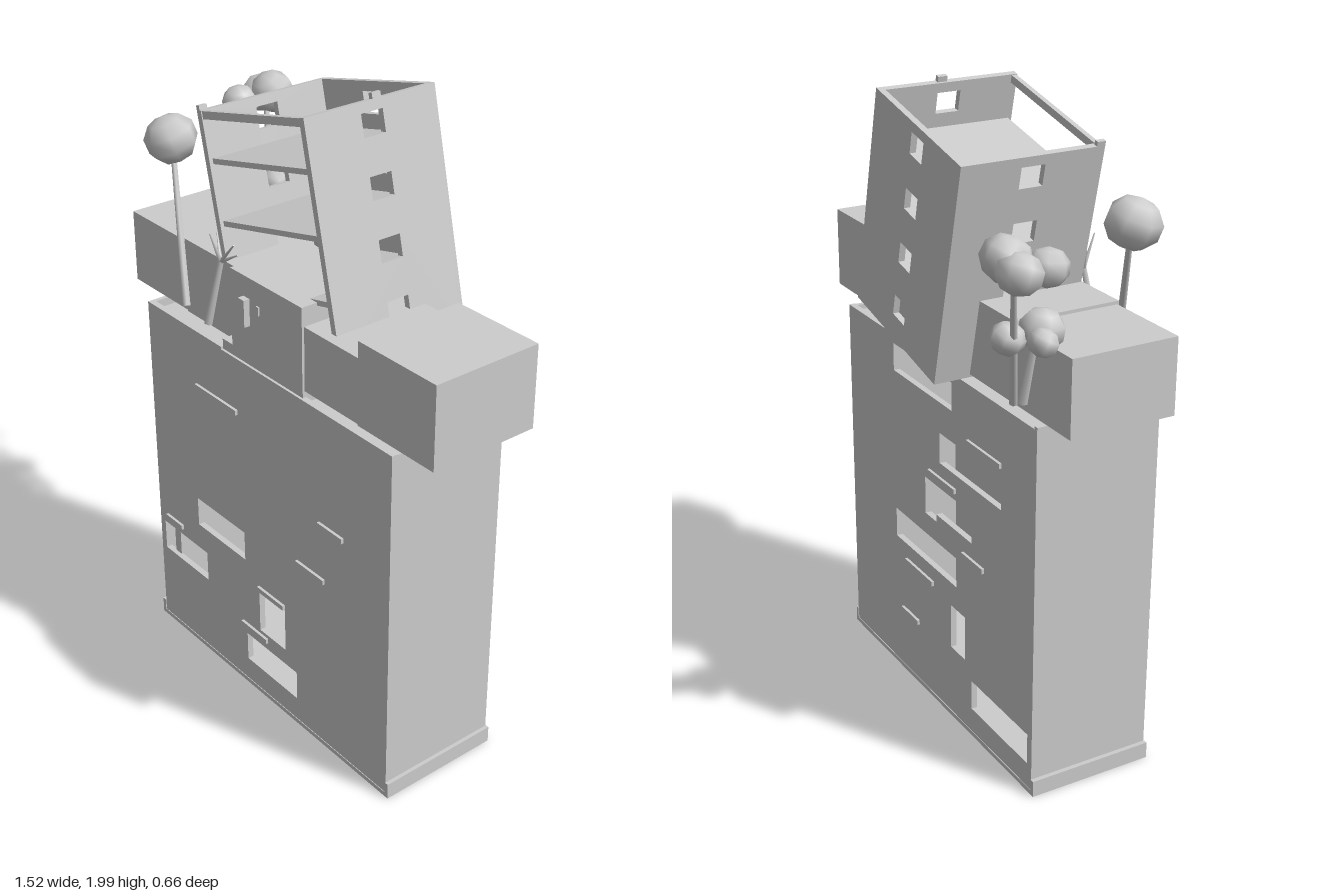
import * as THREE from 'three';

export function createModel() {
  const model = new THREE.Group();
  const grey = new THREE.MeshStandardMaterial({ color: 0xcccccc });
  grey.name = 'light grey';

  const add = (parent, name, geometry) => {
    const mesh = new THREE.Mesh(geometry, grey);
    mesh.name = name;
    parent.add(mesh);
    return mesh;
  };
  const group = (name, parent = model) => {
    const g = new THREE.Group();
    g.name = name;
    parent.add(g);
    return g;
  };
  // Box given by its two extremes on each axis
  const box = (parent, name, x0, x1, y0, y1, z0, z1) => {
    const mesh = add(parent, name, new THREE.BoxGeometry(x1 - x0, y1 - y0, z1 - z0));
    mesh.position.set((x0 + x1) / 2, (y0 + y1) / 2, (z0 + z1) / 2);
    return mesh;
  };
  // Upright wall in the xy plane with rectangular or polygonal openings
  const rect = (x0, x1, y0, y1) => [[x0, y0], [x1, y0], [x1, y1], [x0, y1]];
  const wall = (parent, name, outline, holes, depth) => {
    const vec = (pts) => pts.map(([x, y]) => new THREE.Vector2(x, y));
    const shape = new THREE.Shape(vec(outline));
    holes.forEach((h) => shape.holes.push(new THREE.Path(vec(h))));
    return add(parent, name, new THREE.ExtrudeGeometry(shape, { depth, bevelEnabled: false }));
  };
  const rod = (parent, name, a, b, r0, r1, sides = 6) => {
    const from = new THREE.Vector3(...a), to = new THREE.Vector3(...b);
    const dir = to.clone().sub(from);
    const mesh = add(parent, name, new THREE.CylinderGeometry(r1, r0, dir.length(), sides));
    mesh.position.copy(from).add(to).multiplyScalar(0.5);
    mesh.quaternion.setFromUnitVectors(new THREE.Vector3(0, 1, 0), dir.normalize());
  };

  // Main hollow building
  const main = group('mainBuilding');
  const front = wall(main, 'frontWall', rect(-0.545, 0.61, 0, 1.18), [
    rect(-0.32, -0.07, 0.48, 0.58), rect(-0.52, -0.28, 0.285, 0.39),
    rect(0, 0.13, 0.25, 0.4), rect(-0.07, 0.185, 0.095, 0.195),
  ], 0.02);
  front.position.z = 0.275;
  const back = wall(main, 'backWall', rect(-0.545, 0.61, 0, 1.18), [
    rect(-0.07, 0.3, 1.06, 1.15), rect(-0.36, 0.005, 0.86, 0.96),
    [[-0.19, 0.675], [0.03, 0.675], [0.03, 0.65], [0.1, 0.65], [0.1, 0.775], [-0.19, 0.775]],
    rect(-0.095, 0.3, 0.48, 0.58), rect(-0.15, -0.06, 0.25, 0.4),
    rect(-0.52, -0.19, 0.095, 0.195),
  ], 0.02);
  back.position.z = -0.108;
  box(main, 'rightWall', -0.545, -0.53, 0, 1.188, -0.107, 0.294);
  box(main, 'leftWall', 0.595, 0.61, 0, 1.178, -0.107, 0.294);
  box(main, 'roof', -0.53, 0.595, 1.15, 1.162, -0.09, 0.278);
  box(main, 'frontParapet', -0.545, -0.16, 1.18, 1.188, 0.275, 0.295);
  box(main, 'windowBar', -0.487, -0.455, 0.285, 0.39, 0.265, 0.28);
  box(main, 'groundFloor', -0.56, 0.62, 0, 0.015, -0.11, 0.297);
  for (const s of [0, 1]) {
    const x = s ? 0.608 : -0.56;
    box(main, 'plinth', x, x + 0.014, 0, 0.053, -0.11, 0.297);
  }
  // Window ledges: x range and height
  [[-0.295, -0.085, 1], [0.3, 0.41, 0.807], [0.195, 0.325, 0.617],
    [-0.5, -0.41, 0.422], [0, 0.13, 0.412], [-0.09, 0.04, 0.23]].forEach(([a, b, y]) =>
    box(main, 'frontLedge', a, b, y - 0.008, y + 0.008, 0.285, 0.304));
  [[-0.36, -0.17, 1], [-0.095, 0.07, 0.807], [-0.265, -0.14, 0.617],
    [0.05, 0.23, 0.422], [0.15, 0.26, 0.23]].forEach(([a, b, y]) =>
    box(main, 'backLedge', a, b, y - 0.008, y + 0.008, -0.117, -0.1));
  rod(main, 'roofPipe', [0.54, 1.17, 0.2], [0.54, 1.187, 0.2], 0.014, 0.014, 8);

  // Blocks resting on the roof
  const blocks = group('roofBlocks');
  box(blocks, 'rightBlock', -0.68, -0.392, 1.2, 1.43, -0.09, 0.245);
  box(blocks, 'rightConnector', -0.392, -0.11, 1.2, 1.44, -0.09, 0.25);
  box(blocks, 'centreSlab', -0.16, 0.22, 1.16, 1.213, 0.02, 0.287);
  box(blocks, 'centreBlock', -0.11, 0.22, 1.21, 1.46, -0.07, 0.288);
  box(blocks, 'leftConnector', 0.22, 0.455, 1.2, 1.4, -0.07, 0.28);
  box(blocks, 'leftBlock', 0.455, 0.76, 1.2, 1.455, -0.07, 0.285);
  box(blocks, 'doorPlate', -0.048, -0.02, 1.31, 1.395, 0.285, 0.308);
  box(blocks, 'smallPlate', 0.015, 0.027, 1.36, 1.387, 0.285, 0.293);

  // Tilted tower, open at the front and top
  const tower = group('tiltedTower');
  tower.position.set(-0.145, 1.19, 0);
  tower.rotation.z = THREE.MathUtils.degToRad(13.3);
  const W = 0.5, H = 0.69, Z0 = -0.205, Z1 = 0.247, T = 0.02;
  const levels = [0.105, 0.28, 0.454, 0.625];
  const towerBack = wall(tower, 'towerBackWall', rect(0, W, 0, H),
    levels.map((y) => rect(0.205, 0.275, y - 0.03, y + 0.035)), T);
  towerBack.position.z = Z0;
  for (const [name, x] of [['towerRightWall', 0], ['towerLeftWall', W - T]]) {
    const side = wall(tower, name, rect(-Z1, -Z0 - T, 0, H),
      levels.map((y) => rect(-0.06, 0.015, y - 0.03, y + 0.035)), T);
    side.rotation.y = Math.PI / 2;
    side.position.x = x;
  }
  for (const y of [0.17, 0.353, 0.535]) {
    box(tower, 'towerFloor', T, W - T, y, y + 0.016, Z0 + T, 0.235);
  }
  box(tower, 'topBeam', T, W - T, 0.665, 0.688, 0.228, 0.244);
  box(tower, 'cornerPost', W - 0.014, W, H, H + 0.017, -0.015, 0.015);
  box(tower, 'cornerPost', 0, 0.014, H, H + 0.014, 0.22, Z1);

  // Trees: leaning trunks with rounded low-poly crowns
  const trees = group('trees');
  const crown = new THREE.SphereGeometry(1, 7, 5);
  rod(trees, 'trunk', [-0.315, 1.265, 0.305], [-0.5, 1.68, 0.205], 0.013, 0.009);
  rod(trees, 'trunk', [-0.49, 1.25, -0.15], [-0.65, 1.68, -0.25], 0.013, 0.009);
  rod(trees, 'trunk', [-0.52, 1.26, -0.14], [-0.565, 1.46, -0.13], 0.015, 0.01);
  [[-0.515, 1.705, 0.2, 0.084], [-0.64, 1.715, -0.265, 0.073], [-0.7, 1.695, -0.265, 0.065],
    [-0.68, 1.69, -0.17, 0.06], [-0.555, 1.475, -0.105, 0.066], [-0.54, 1.46, -0.2, 0.052],
    [-0.61, 1.46, -0.135, 0.045], [-0.045, 1.49, -0.04, 0.066], [0.03, 1.485, -0.05, 0.045],
  ].forEach(([x, y, z, r], i) => {
    const mesh = add(trees, 'crown', crown);
    mesh.position.set(x, y, z);
    mesh.scale.set(r, r * 0.88, r);
    mesh.rotation.set(0.3, i * 1.3, 0.2);
  });

  // Bare branching tree in front
  const bare = group('bareTree');
  rod(bare, 'trunk', [-0.19, 1.26, 0.315], [-0.155, 1.47, 0.285], 0.013, 0.009);
  [[-0.07, 1.545, 0.3], [-0.2, 1.53, 0.265], [-0.15, 1.56, 0.325], [-0.09, 1.5, 0.275]]
    .forEach((tip) => rod(bare, 'branch', [-0.157, 1.46, 0.286], tip, 0.007, 0.002, 5));

  return model;
}
